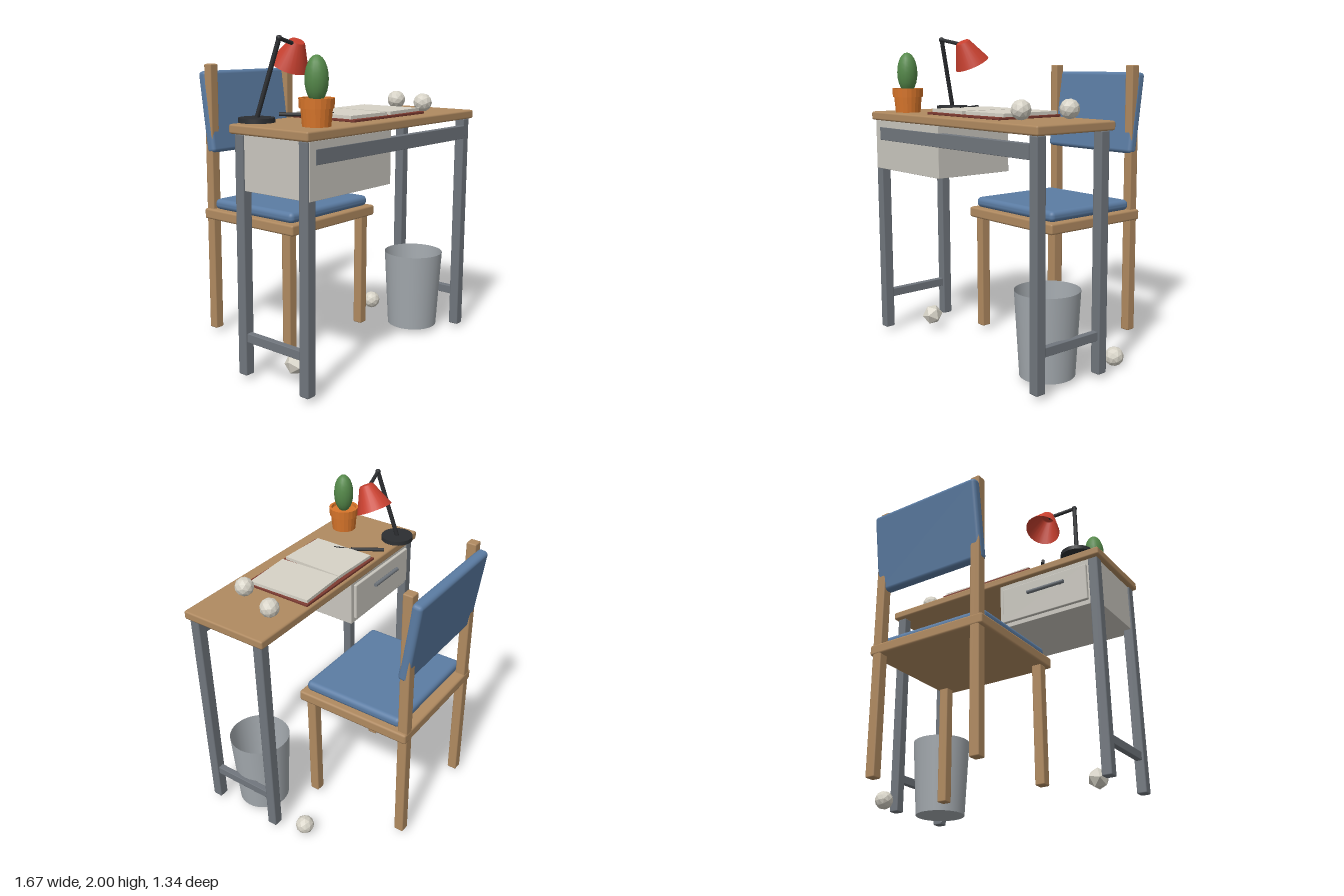
import * as THREE from 'three';
import { RoundedBoxGeometry } from 'three/addons/geometries/RoundedBoxGeometry.js';

const mat = (color, extra = {}) => new THREE.MeshStandardMaterial({ color, ...extra });
const wood = mat(0xb08a60);
const metal = mat(0x70767d);
const blue = mat(0x5b7ca3);
const drawerGrey = mat(0xc9c6be);
const black = mat(0x2c2e31);
const red = mat(0xc8402f, { side: THREE.DoubleSide });
const clay = mat(0xd9762b);
const green = mat(0x55894a);
const leather = mat(0x7d3a30);
const paper = mat(0xd6d2c6);
const crumpled = mat(0xd6d2c6, { flatShading: true });
const binGrey = mat(0xa3a9ae, { side: THREE.DoubleSide });

function add(parent, name, geometry, material, x = 0, y = 0, z = 0) {
  const mesh = new THREE.Mesh(geometry, material);
  mesh.name = name;
  mesh.position.set(x, y, z);
  parent.add(mesh);
  return mesh;
}

// Bevelled box given by its extents
function box(parent, name, material, [x0, x1], [y0, y1], [z0, z1], bevel = 0.008, segments = 1) {
  const g = new RoundedBoxGeometry(x1 - x0, y1 - y0, z1 - z0, segments, bevel);
  return add(parent, name, g, material, (x0 + x1) / 2, (y0 + y1) / 2, (z0 + z1) / 2);
}

// Round bar between two points
function rod(parent, name, material, from, to, r0, r1 = r0, sides = 10) {
  const a = new THREE.Vector3(...from), b = new THREE.Vector3(...to);
  const dir = b.clone().sub(a);
  const mesh = add(parent, name, new THREE.CylinderGeometry(r1, r0, dir.length(), sides), material);
  mesh.position.copy(a).add(b).multiplyScalar(0.5);
  mesh.quaternion.setFromUnitVectors(new THREE.Vector3(0, 1, 0), dir.normalize());
  return mesh;
}

function group(parent, name) {
  const g = new THREE.Group();
  g.name = name;
  parent.add(g);
  return g;
}

function buildDesk(root) {
  const desk = group(root, 'desk');
  box(desk, 'deskTop', wood, [-0.833, 0.833], [1.455, 1.51], [0.08, 0.67], 0.012);
  for (const s of [-1, 1]) {
    const x = s * 0.778;
    for (const z of [0.138, 0.618]) {
      box(desk, 'deskLeg', metal, [x - 0.033, x + 0.033], [0.03, 1.455], [z - 0.033, z + 0.033]);
    }
    box(desk, 'sideBar', metal, [x - 0.02, x + 0.02], [0.235, 0.29], [0.14, 0.615], 0.004);
  }
  box(desk, 'frontRail', metal, [-0.75, 0.75], [1.325, 1.41], [0.615, 0.657], 0.003);

  // Drawer opens towards the chair
  box(desk, 'drawerBox', drawerGrey, [-0.8, -0.08], [1.135, 1.455], [0.11, 0.655], 0.002);
  box(desk, 'drawerFront', drawerGrey, [-0.735, -0.11], [1.165, 1.415], [0.09, 0.13], 0.006);
  rod(desk, 'drawerHandle', metal, [-0.58, 1.33, 0.075], [-0.31, 1.33, 0.075], 0.013);
  for (const x of [-0.55, -0.34]) {
    rod(desk, 'handlePost', metal, [x, 1.33, 0.075], [x, 1.33, 0.1], 0.008);
  }
}

function buildChair(root) {
  const chair = group(root, 'chair');
  for (const x of [-0.362, 0.357]) {
    box(chair, 'backPost', wood, [x - 0.032, x + 0.032], [0.03, 1.815], [-0.612, -0.547]);
    box(chair, 'frontLeg', wood, [x - 0.032, x + 0.032], [0.03, 0.8], [0.07, 0.135]);
  }
  box(chair, 'seatFrame', wood, [-0.415, 0.41], [0.795, 0.865], [-0.615, 0.177], 0.014);
  box(chair, 'seatCushion', blue, [-0.385, 0.377], [0.863, 0.932], [-0.55, 0.145], 0.03, 3);
  const back = box(chair, 'backCushion', blue, [-0.398, 0.392], [1.235, 1.77], [-0.635, -0.565], 0.025, 2);
  back.rotation.x = -0.14;
}

function buildLamp(root) {
  const lamp = group(root, 'lamp');
  add(lamp, 'lampBase', new THREE.CylinderGeometry(0.105, 0.107, 0.027, 28), black, -0.66, 1.523, 0.132);
  const elbow = [-0.6, 1.98, 0.255], head = [-0.42, 1.945, 0.21];
  rod(lamp, 'lowerArm', black, [-0.66, 1.53, 0.132], elbow, 0.014);
  rod(lamp, 'upperArm', black, elbow, head, 0.012);
  add(lamp, 'elbow', new THREE.SphereGeometry(0.018, 12, 8), black, ...elbow);

  // Shade: closed at the top, open below, tipped towards the chair
  const profile = [[0, 0.08], [0.04, 0.08], [0.047, 0.074], [0.117, -0.08]].map(p => new THREE.Vector2(...p));
  const shade = add(lamp, 'lampShade', new THREE.LatheGeometry(profile.reverse(), 24), red, -0.407, 1.893, 0.187);
  const axis = new THREE.Vector3(-0.05, 0.89, 0.44).normalize();
  shade.quaternion.setFromUnitVectors(new THREE.Vector3(0, 1, 0), axis);
}

function buildPlant(root) {
  const plant = group(root, 'pottedCactus');
  const pot = [[0, 0], [0.08, 0], [0.089, 0.1], [0.097, 0.1], [0.1, 0.155], [0.085, 0.155], [0.083, 0.135], [0, 0.135]];
  add(plant, 'pot', new THREE.LatheGeometry(pot.map(p => new THREE.Vector2(...p)), 20),
    mat(clay.color, { flatShading: true }), -0.6, 1.51, 0.53);
  const cactus = add(plant, 'cactus', new THREE.SphereGeometry(1, 16, 12), green, -0.6, 1.765, 0.53);
  cactus.scale.set(0.066, 0.13, 0.066);
}

function buildBook(root) {
  const book = group(root, 'openBook');
  box(book, 'cover', leather, [-0.32, 0.395], [1.51, 1.525], [0.095, 0.57], 0.003);
  const pages = [
    [[-0.302, 0.112], [0.035, 0.121], [0.02, 0.55], [-0.307, 0.537]],
    [[0.042, 0.121], [0.378, 0.107], [0.39, 0.532], [0.056, 0.55]],
  ];
  for (const corners of pages) {
    const shape = new THREE.Shape(corners.map(([x, z]) => new THREE.Vector2(x, -z)));
    const g = new THREE.ExtrudeGeometry(shape, { depth: 0.022, bevelEnabled: false });
    g.rotateX(-Math.PI / 2);
    add(book, 'pages', g, paper, 0, 1.523, 0);
  }
  // Pen lying beside and across the book
  const pen = group(root, 'pen');
  rod(pen, 'penBarrel', black, [-0.43, 1.536, 0.09], [-0.315, 1.536, 0.275], 0.012);
  rod(pen, 'penTip', black, [-0.315, 1.536, 0.275], [-0.257, 1.552, 0.37], 0.006, 0.003);
}

function buildBin(root) {
  const bin = group(root, 'wasteBin');
  const profile = [[0, 0], [0.165, 0], [0.195, 0.51]].map(p => new THREE.Vector2(...p));
  const wall = new THREE.LatheGeometry(profile.slice(1), 32);
  add(bin, 'binWall', wall, binGrey, 0.595, 0.03, 0.378);
  add(bin, 'binFloor', new THREE.CylinderGeometry(0.165, 0.165, 0.006, 32), binGrey, 0.595, 0.034, 0.378);
}

function buildPaperBalls(root) {
  const spots = [
    [0.494, 1.57, 0.49, 0.06], [0.595, 1.57, 0.212, 0.06],
    [0.715, 0.062, -0.063, 0.06], [-0.6, 0.1, 0.37, 0.069],
  ];
  spots.forEach(([x, y, z, r], i) => {
    const ball = add(root, 'paperBall', new THREE.IcosahedronGeometry(r, i < 3 ? 1 : 0), crumpled, x, y, z);
    ball.rotation.set(0.4 + i, 0.7 * i, 0.3 * i);
  });
}

export function createModel() {
  const root = new THREE.Group();
  root.name = 'studyDeskSet';
  [buildDesk, buildChair, buildLamp, buildPlant, buildBook, buildBin, buildPaperBalls].forEach(build => build(root));
  return root;
}
